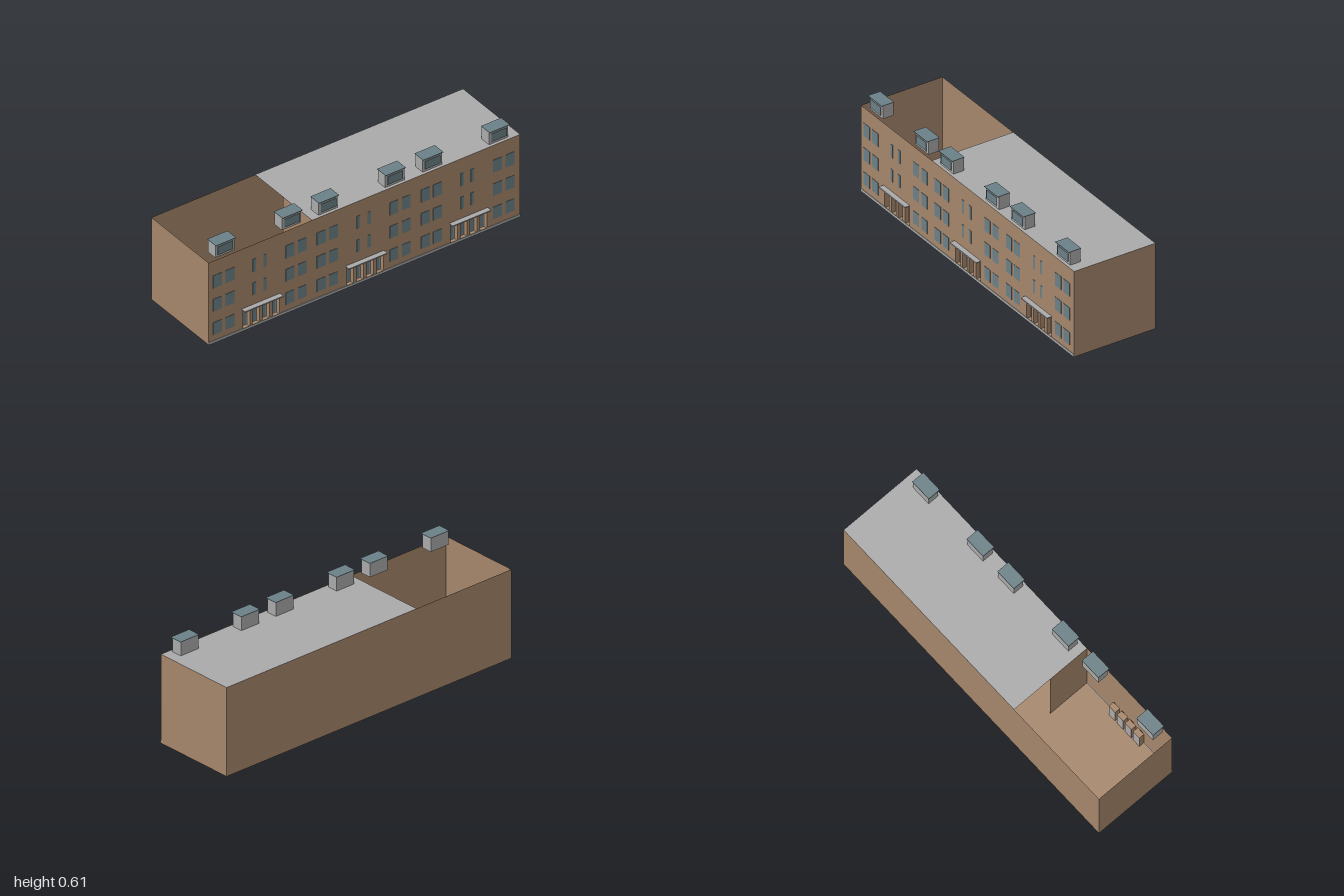
import * as THREE from 'three';

const mat = (name, color, double) => {
  const m = new THREE.MeshStandardMaterial({ color });
  m.name = name;
  if (double) m.side = THREE.DoubleSide;
  return m;
};

export function createModel() {
  const model = new THREE.Group();
  model.name = 'building';
  const brick = mat('brick', 0xa5866b, true);
  const grey = mat('concrete', 0xaaaaaa, true);
  const glass = mat('glass', 0x6b8087, true);

  const FRONT = 0.24, BACK = -0.27, TOP = 0.522, ROOF_X = -0.335;

  const add = (name, geo, material, parent = model) => {
    const mesh = new THREE.Mesh(geo, material);
    mesh.name = name;
    parent.add(mesh);
    return mesh;
  };
  // Box given by its lower and upper corners
  const box = (name, x0, x1, y0, y1, z0, z1, material, parent) =>
    add(name, new THREE.BoxGeometry(x1 - x0, y1 - y0, z1 - z0)
      .translate((x0 + x1) / 2, (y0 + y1) / 2, (z0 + z1) / 2), material, parent);
  // Upright sheet facing x
  const sideSheet = (name, x, z0, z1, facing) =>
    add(name, new THREE.PlaneGeometry(z1 - z0, TOP).rotateY(facing * Math.PI / 2)
      .translate(x, TOP / 2, (z0 + z1) / 2), brick);
  // Level sheet
  const flatSheet = (name, x0, x1, y, material, facing) =>
    add(name, new THREE.PlaneGeometry(x1 - x0, FRONT - BACK).rotateX(-facing * Math.PI / 2)
      .translate((x0 + x1) / 2, y, (FRONT + BACK) / 2), material);
  const rect = (Type, x0, x1, y0, y1) => new Type([
    new THREE.Vector2(x0, y0), new THREE.Vector2(x1, y0),
    new THREE.Vector2(x1, y1), new THREE.Vector2(x0, y1)]);

  // Entrances: four recessed doors each, under a shared canopy
  const entrances = [-0.78, -0.113, 0.553];
  const doors = entrances.flatMap(x => [0, 0.063, 0.126, 0.19].map(d => x + d));
  const DOOR_W = 0.045, DOOR_Y0 = 0.008, DOOR_Y1 = 0.13;

  // Shell, open above its left bay as seen from the front
  const facade = rect(THREE.Shape, -1, 1, 0, TOP);
  doors.forEach(x => facade.holes.push(rect(THREE.Path, x, x + DOOR_W, DOOR_Y0, DOOR_Y1)));
  add('frontWall', new THREE.ShapeGeometry(facade).translate(0, 0, FRONT), brick);
  add('backWall', new THREE.PlaneGeometry(2, TOP).rotateY(Math.PI)
    .translate(0, TOP / 2, BACK), brick);
  sideSheet('rightEndWall', -1, BACK, FRONT, -1);
  sideSheet('leftEndWall', 1, BACK, FRONT, 1);
  sideSheet('partition', ROOF_X, -0.02, FRONT, -1);
  flatSheet('floor', -1, 1, 0, brick, -1);
  flatSheet('roof', ROOF_X, 1, TOP, grey, 1);
  box('plinth', -1, 1, 0, 0.016, FRONT, FRONT + 0.003, grey);

  // Door niche: brick jambs, grey frame and glass leaf
  doors.forEach(x => {
    const door = new THREE.Group();
    door.name = 'door';
    model.add(door);
    const jamb = rect(THREE.Shape, x - 0.002, x + DOOR_W + 0.002, DOOR_Y0 - 0.002, DOOR_Y1 + 0.002);
    jamb.holes.push(rect(THREE.Path, x, x + DOOR_W, DOOR_Y0, DOOR_Y1));
    add('doorJamb', new THREE.ExtrudeGeometry(jamb, { depth: 0.033, bevelEnabled: false })
      .translate(0, 0, FRONT - 0.034), brick, door);
    box('doorFrame', x, x + DOOR_W, DOOR_Y0, DOOR_Y1, 0.206, 0.212, grey, door);
    box('doorGlass', x + 0.007, x + DOOR_W - 0.007, DOOR_Y0 + 0.006, DOOR_Y1 - 0.008,
      0.212, 0.215, glass, door);
  });

  // Wedge canopies, thicker at the outer edge
  entrances.forEach(x => {
    const section = new THREE.Shape([
      new THREE.Vector2(-FRONT, 0.139), new THREE.Vector2(-0.27, 0.135),
      new THREE.Vector2(-0.27, 0.142), new THREE.Vector2(-FRONT, 0.142)]);
    add('canopy', new THREE.ExtrudeGeometry(section, { depth: 0.247, bevelEnabled: false })
      .rotateY(Math.PI / 2).translate(x - 0.008, 0, 0), grey);
  });

  // Windows: [left edge, width]; narrow stair windows skip the ground floor
  const columns = [
    [-0.972, 0.057], [-0.893, 0.057], [-0.507, 0.055], [-0.427, 0.053],
    [-0.307, 0.057], [-0.228, 0.055], [0.162, 0.053], [0.24, 0.053],
    [0.364, 0.055], [0.44, 0.055], [0.825, 0.057], [0.904, 0.057],
    [-0.718, 0.02], [-0.65, 0.02], [-0.05, 0.02], [0.019, 0.02],
    [0.617, 0.019], [0.682, 0.02]];
  const rows = [[0.055, 0.131], [0.203, 0.28], [0.35, 0.43]];
  columns.forEach(([x, w]) => rows.forEach(([y0, y1], floor) => {
    if (w < 0.03 && floor === 0) return;
    box('window', x, x + w, y0, y1, FRONT + 0.001, FRONT + 0.003, glass);
  }));

  // Roof dormers with an overhanging lid and a framed window
  [-0.947, -0.519, -0.285, 0.143, 0.384, 0.81].forEach(x => {
    const dormer = new THREE.Group();
    dormer.name = 'dormer';
    model.add(dormer);
    const w = 0.129;
    box('dormerBody', x + 0.003, x + w - 0.003, TOP, 0.602, 0.157, 0.222, grey, dormer);
    box('dormerLid', x, x + w, 0.602, 0.605, 0.155, 0.232, glass, dormer);
    box('dormerWindow', x + 0.016, x + w - 0.016, 0.538, 0.589, 0.225, 0.228, glass, dormer);
  });

  return model;
}
